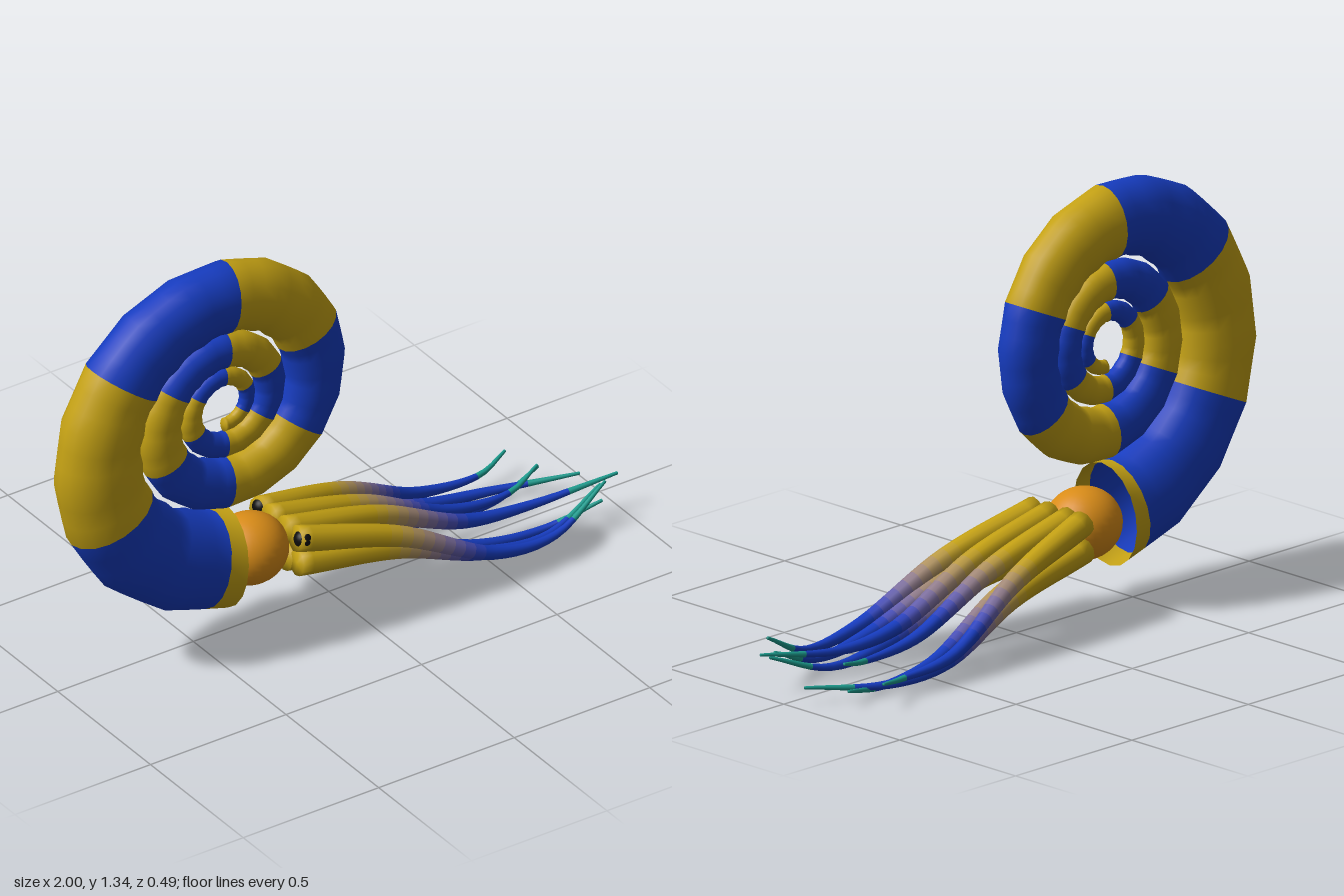
import * as THREE from 'three';

const GOLD = new THREE.Color(0xc4a114);
const BLUE = new THREE.Color(0x163cc0);
const TEAL = new THREE.Color(0x1c9c8e);
const ORANGE = new THREE.Color(0xd98c18);
const BLACK = new THREE.Color(0x0c0c0c);
const Z0 = 0.017; // middle plane of the animal

const materials = new Map();
function paint(color) {
  const key = color.getHex();
  if (!materials.has(key)) {
    materials.set(key, new THREE.MeshStandardMaterial({ color, side: THREE.DoubleSide }));
  }
  return materials.get(key);
}

// Skins a list of rings { c, u, v } (centre and two half-axes), then splits the
// skin into one mesh per run of equal colour; the normals stay smooth throughout.
function sweep(name, rings, sides, colorOf) {
  const group = new THREE.Group();
  group.name = name;
  const pos = [];
  for (const { c, u, v } of rings) {
    for (let j = 0; j < sides; j++) {
      const a = (j / sides) * Math.PI * 2;
      const p = c.clone().addScaledVector(u, Math.cos(a)).addScaledVector(v, Math.sin(a));
      pos.push(p.x, p.y, p.z);
    }
  }
  const runs = [];
  const all = [];
  for (let i = 0; i < rings.length - 1; i++) {
    const color = colorOf(i);
    const last = runs[runs.length - 1];
    const run = last && last.color.equals(color) ? last : { color, index: [] };
    if (run !== last) runs.push(run);
    for (let j = 0; j < sides; j++) {
      const k = (j + 1) % sides;
      const a = i * sides + j, b = i * sides + k;
      const quad = [a, b, a + sides, b, b + sides, a + sides];
      run.index.push(...quad);
      all.push(...quad);
    }
  }
  const whole = new THREE.BufferGeometry();
  whole.setAttribute('position', new THREE.Float32BufferAttribute(pos, 3));
  whole.setIndex(all);
  whole.computeVertexNormals();
  runs.forEach((run, n) => {
    const geo = new THREE.BufferGeometry();
    geo.setAttribute('position', whole.attributes.position);
    geo.setAttribute('normal', whole.attributes.normal);
    geo.setIndex(run.index);
    const mesh = new THREE.Mesh(geo, paint(run.color));
    mesh.name = `${name}Band${n + 1}`;
    group.add(mesh);
  });
  return group;
}

// Ribbed logarithmic spiral of three turns, open at the mouth
function makeShell() {
  const TURNS = 3, PER_TURN = 54;
  const growth = Math.log(0.51) / (Math.PI * 2);
  const rings = [];
  for (let i = 0; i <= TURNS * PER_TURN; i++) {
    const t = (i / PER_TURN) * Math.PI * 2;
    const a = -Math.PI / 2 - t;
    const R = 0.545 * Math.exp(growth * t);
    const out = new THREE.Vector3(Math.cos(a), Math.sin(a), 0);
    const along = new THREE.Vector3(Math.sin(a), -Math.cos(a), 0).addScaledVector(out, growth).normalize();
    const side = new THREE.Vector3(0, 0, 1);
    const across = new THREE.Vector3().crossVectors(side, along);
    const r = R * 0.303 * (1 + 0.03 * Math.cos(t * 18));
    rings.push({
      c: new THREE.Vector3(-0.4, 0.84, Z0).addScaledVector(out, R),
      u: across.multiplyScalar(r),
      v: side.multiplyScalar(-r * 0.79),
    });
  }
  const tip = rings[rings.length - 1];
  const zero = new THREE.Vector3();
  rings.push({ c: tip.c.clone(), u: zero, v: zero });
  // six bands per turn, plus a thin gold lip at the mouth
  return sweep('shell', rings, 18, (i) =>
    i < 1 || Math.floor(Math.min(i, TURNS * PER_TURN - 1) / (PER_TURN / 6)) % 2 ? GOLD : BLUE);
}

// Tapering arm from the head to a thin curled tip
function makeTentacle(name, base, mid, tip) {
  const [by, bz] = base, [my, mz] = mid;
  const P = (x, y, z) => new THREE.Vector3(x, y, z);
  const curve = new THREE.CatmullRomCurve3([
    P(-0.2, by, bz),
    P(0.15, by * 0.5 + my * 0.5 + 0.035, bz * 0.5 + mz * 0.5),
    P(0.47, my + 0.012, mz),
    P(0.7, my - 0.01, mz * 0.85 + tip[2] * 0.15),
    P(...tip),
  ]);
  const N = 30;
  const rings = [];
  for (let i = 0; i <= N; i++) {
    const t = i / N;
    const c = curve.getPointAt(t);
    const tan = curve.getTangentAt(t);
    const v = new THREE.Vector3().crossVectors(tan, P(0, 1, 0)).normalize();
    const u = new THREE.Vector3().crossVectors(v, tan);
    const r = t < 0.82 ? 0.042 - 0.03 * (t / 0.82) ** 1.3 : 0.012 - 0.007 * (t - 0.82) / 0.18;
    rings.push({ c, u: u.multiplyScalar(r), v: v.multiplyScalar(r) });
  }
  const zero = P(0, 0, 0);
  rings.unshift({ c: rings[0].c, u: zero, v: zero });
  rings.push({ c: rings[N + 1].c, u: zero, v: zero });
  return sweep(name, rings, 10, (i) => {
    const t = i / N;
    if (t > 0.87) return TEAL;
    return GOLD.clone().lerp(BLUE, THREE.MathUtils.smoothstep(t, 0.27, 0.6));
  });
}

function makeBall(name, color, [x, y, z], [rx, ry, rz]) {
  const mesh = new THREE.Mesh(new THREE.SphereGeometry(1, 28, 20), paint(color));
  mesh.name = name;
  mesh.position.set(x, y, z);
  mesh.scale.set(rx, ry, rz);
  return mesh;
}

export function createModel() {
  const model = new THREE.Group();
  model.name = 'spiralShellCephalopod';
  model.add(makeShell());

  // Head and eyes
  model.add(makeBall('head', ORANGE, [-0.305, 0.288, Z0], [0.125, 0.114, 0.116]));
  for (const s of [-1, 1]) {
    model.add(makeBall(s < 0 ? 'rightEye' : 'leftEye', BLACK, [-0.182, 0.335, Z0 + s * 0.112], [0.03, 0.03, 0.03]));
  }

  // Eight arms: [base y, z], [middle y, z], tip
  const arms = [
    [[0.335, 0.115], [0.08, 0.21], [0.91, 0.165, 0.16]],
    [[0.335, -0.085], [0.08, -0.2], [0.82, 0.09, -0.25]],
    [[0.335, 0.05], [0.11, 0.05], [0.99, 0.14, 0.11]],
    [[0.335, -0.03], [0.1, -0.04], [0.83, 0.12, -0.09]],
    [[0.25, 0.12], [0.06, 0.17], [0.92, 0.13, 0.12]],
    [[0.25, -0.09], [0.05, -0.17], [0.96, 0.065, -0.05]],
    [[0.235, 0.055], [0.045, 0.1], [0.9, 0.1, 0.16]],
    [[0.235, -0.03], [0.035, -0.11], [0.88, 0.06, -0.16]],
  ];
  arms.forEach(([base, mid, tip], i) => model.add(makeTentacle(`tentacle${i + 1}`, base, mid, tip)));
  return model;
}
